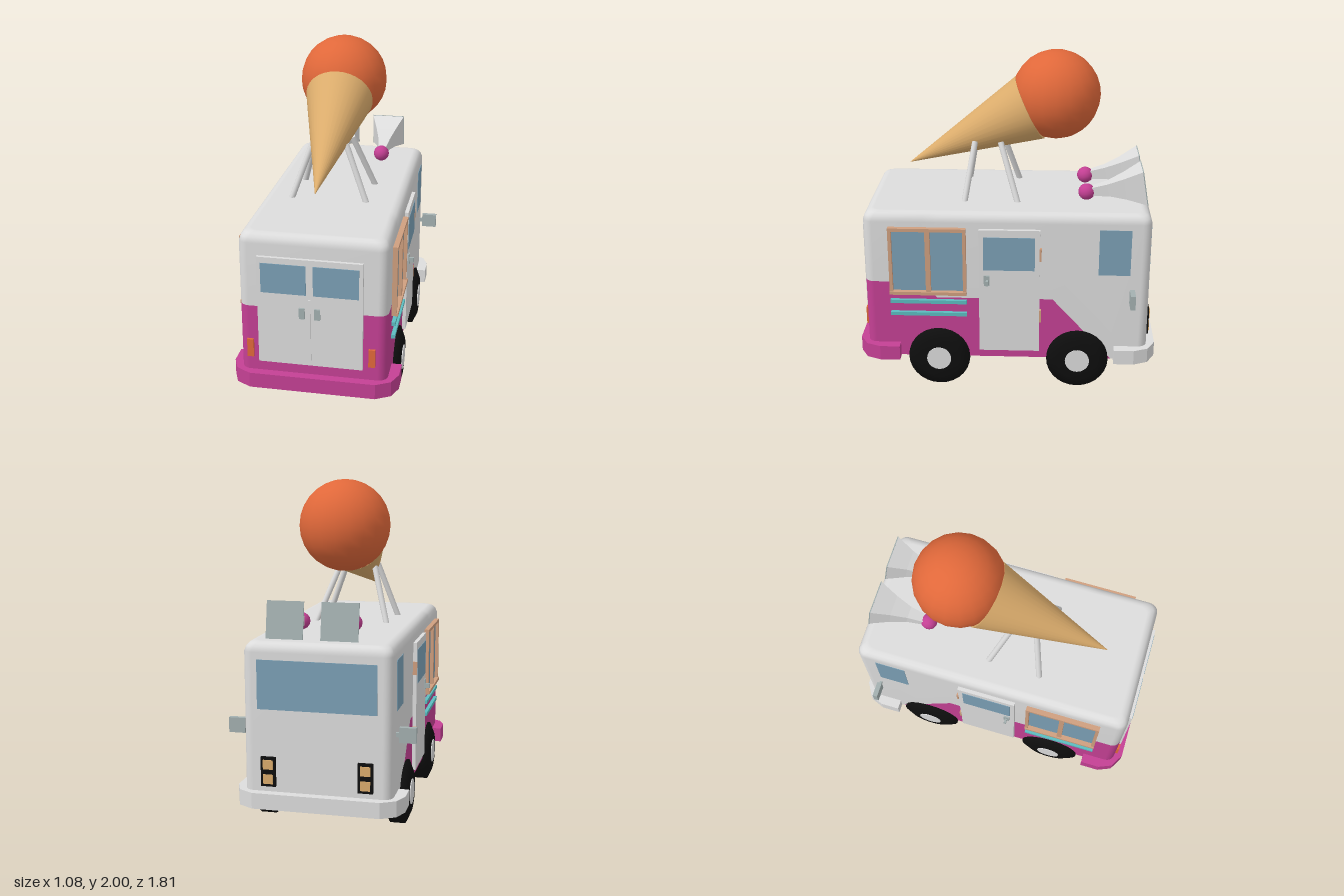
import * as THREE from 'three';

const paint = (name, color) => {
  const m = new THREE.MeshStandardMaterial({ color });
  m.name = name;
  return m;
};

export function createModel() {
  const white = paint('white', 0xdcdcdc), pink = paint('pink', 0xc44094), glass = paint('glass', 0x7ba0b5);
  const trim = paint('trim', 0xcf9f7f), grey = paint('grey', 0xa3b0b0), teal = paint('teal', 0x5cbcc0);
  const black = paint('black', 0x0e0e0e), wafer = paint('wafer', 0xdbac6c), orange = paint('orange', 0xe0683a);

  const model = new THREE.Group();
  model.name = 'iceCreamVan';
  const van = new THREE.Group();
  van.name = 'van';
  van.position.x = -0.008;
  model.add(van);

  const add = (name, geo, mat, parent = van) => {
    const m = new THREE.Mesh(geo, mat);
    m.name = name;
    parent.add(m);
    return m;
  };
  // box given by its limits
  const box = (name, mat, x0, x1, y0, y1, z0, z1, parent = van) =>
    add(name, new THREE.BoxGeometry(Math.abs(x1 - x0), y1 - y0, z1 - z0), mat, parent)
      .position.set((x0 + x1) / 2, (y0 + y1) / 2, (z0 + z1) / 2);
  // skin over closed rings of [x, y, z], listed bottom to top
  const loft = (rings) => {
    const n = rings[0].length, index = [];
    for (let r = 0; r < rings.length - 1; r++)
      for (let i = 0; i < n; i++) {
        const a = r * n + i, b = r * n + (i + 1) % n;
        index.push(b, a, a + n, b, a + n, b + n);
      }
    const g = new THREE.BufferGeometry();
    g.setAttribute('position', new THREE.Float32BufferAttribute(rings.flat(2), 3));
    g.setIndex(index);
    g.computeVertexNormals();
    return g;
  };
  // rod between two points
  const rod = (name, a, b, r, mat) => {
    const p = new THREE.Vector3(...a), q = new THREE.Vector3(...b), d = q.clone().sub(p);
    const m = add(name, new THREE.CylinderGeometry(r, r, d.length(), 12), mat, model);
    m.position.copy(p).add(q).multiplyScalar(0.5);
    m.quaternion.setFromUnitVectors(new THREE.Vector3(0, 1, 0), d.normalize());
  };

  // body plan: rounded rectangle with extra points where the paint line bends
  const W = 0.425, L = 0.852, R = 0.055, base = 0.19;
  const paintLine = [[-0.635, base], [-0.275, 0.585], [0.42, 0.585], [0.5, 0.685]];
  const plan = [];
  const corner = (sx, sz, start) => {
    for (let i = 0; i <= 5; i++) {
      const t = start + (i / 5) * Math.PI / 2;
      plan.push([sx * (W - R) + R * Math.cos(t), sz * (L - R) + R * Math.sin(t)]);
    }
  };
  paintLine.forEach(([z]) => plan.push([W, z]));
  corner(1, 1, 0);
  corner(-1, 1, Math.PI / 2);
  [...paintLine].reverse().forEach(([z]) => plan.push([-W, z]));
  corner(-1, -1, Math.PI);
  corner(1, -1, Math.PI * 1.5);

  const paintTop = (z) => {
    if (z <= paintLine[0][0]) return base;
    for (let i = 1; i < paintLine.length; i++) {
      const [z0, y0] = paintLine[i - 1], [z1, y1] = paintLine[i];
      if (z <= z1) return y0 + (y1 - y0) * (z - z0) / (z1 - z0);
    }
    return 0.685;
  };
  const ring = (y, inset = 0) => plan.map(([x, z]) => [x * (1 - inset / W), y, z * (1 - inset / L)]);
  const paintRing = plan.map(([x, z]) => [x, paintTop(z), z]);

  add('lowerBody', loft([ring(base), paintRing]), pink);
  add('underside', loft([plan.map(() => [0, base, 0]), ring(base)]), pink);
  add('upperBody', loft([paintRing, ring(1.07), ring(1.1, 0.01), ring(1.117, 0.025),
    ring(1.126, 0.045), ring(1.127, 0.06), plan.map(() => [0, 1.127, 0])]), white);

  // wrap-around bumpers
  for (const s of [1, -1]) {
    const half = [[0.485, 0.65], [0.485, 0.77], [0.45, 0.855], [0.365, 0.903]];
    const pts = [...half, ...half.map(([x, z]) => [-x, z]).reverse()];
    const shape = new THREE.Shape(pts.map(([x, z]) => new THREE.Vector2(x, s * z)));
    const g = new THREE.ExtrudeGeometry(shape, { depth: 0.092, bevelEnabled: false });
    g.rotateX(Math.PI / 2);
    add(s > 0 ? 'doorEndBumper' : 'cabBumper', g, s > 0 ? pink : white).position.y = 0.277;
  }

  // parts that repeat on both sides
  for (const s of [1, -1]) {
    const side = new THREE.Group();
    side.name = s > 0 ? 'leftSide' : 'rightSide';
    van.add(side);
    const panel = (name, mat, out, y0, y1, z0, z1) => box(name, mat, s * 0.41, s * out, y0, y1, z0, z1, side);

    // serving window
    panel('servingGlass', glass, 0.433, 0.63, 1.03, 0.25, 0.69);
    panel('servingFrameTop', trim, 0.455, 1.02, 1.04, 0.24, 0.7);
    panel('servingSill', trim, 0.462, 0.615, 0.635, 0.24, 0.7);
    for (const z of [0.25, 0.467, 0.69])
      panel('servingFramePost', trim, 0.454, 0.635, 1.02, z - (z === 0.467 ? 0.015 : 0.01), z + (z === 0.467 ? 0.015 : 0.01));
    // rails below it
    for (const y of [0.563, 0.482]) panel('sideRail', teal, 0.447, y - 0.011, y + 0.011, 0.24, 0.7);

    // side door
    panel('sideDoor', white, 0.447, 0.245, 1.035, -0.197, 0.165);
    panel('sideDoorWindow', glass, 0.45, 0.78, 0.99, -0.167, 0.138);
    panel('sideDoorHandlePlate', grey, 0.456, 0.68, 0.745, 0.1, 0.135);
    box('sideDoorHandle', grey, s * 0.45, s * 0.482, 0.69, 0.72, 0.108, 0.122, side);
    for (const y of [0.48, 0.88]) panel('sideDoorHinge', trim, 0.45, y - 0.04, y + 0.04, -0.207, -0.195);

    // cab window and mirror
    panel('cabSideWindow', glass, 0.428, 0.75, 1.037, -0.733, -0.545);
    box('mirror', grey, s * 0.445, s * 0.54, 0.58, 0.667, -0.762, -0.732, side);
    box('mirrorArm', grey, s * 0.41, s * 0.45, 0.61, 0.635, -0.755, -0.74, side);

    // wheels
    for (const z of [0.413, -0.43]) {
      const wheel = new THREE.Group();
      wheel.name = 'wheel';
      wheel.position.set(s * 0.403, 0.19, z);
      wheel.rotation.z = -s * Math.PI / 2;
      side.add(wheel);
      const profile = [[0, -0.06], [0.17, -0.06], [0.188, -0.05], [0.188, 0.032], [0.125, 0.06], [0, 0.06]];
      add('tyre', new THREE.LatheGeometry(profile.map((p) => new THREE.Vector2(...p)), 28), black, wheel);
      add('hub', new THREE.CylinderGeometry(0.074, 0.074, 0.01, 20), white, wheel).position.y = 0.06;
    }

    // headlights
    box('headlight', black, s * 0.235, s * 0.32, 0.31, 0.48, -0.868, -0.84, side);
    for (const y of [0.353, 0.437])
      box('headlightLens', wafer, s * 0.249, s * 0.306, y - 0.027, y + 0.027, -0.874, -0.85, side);
  }

  // windscreen
  box('windscreen', glass, -0.34, 0.34, 0.75, 1.03, -0.856, -0.84);

  // double doors
  const doors = new THREE.Group();
  doors.name = 'doubleDoors';
  doors.position.x = -0.012;
  van.add(doors);
  box('doorPanel', white, -0.3, 0.3, 0.345, 1, 0.84, 0.872, doors);
  box('doorSeam', white, -0.006, 0.006, 0.38, 0.76, 0.87, 0.88, doors);
  for (const s of [1, -1]) {
    box('doorWindow', glass, s * 0.02, s * 0.278, 0.787, 0.965, 0.868, 0.876, doors);
    box('doorHandle', grey, s * 0.028, s * 0.06, 0.643, 0.708, 0.868, 0.884, doors);
    box('tailLight', orange, s * 0.332, s * 0.37, 0.365, 0.475, 0.83, 0.866, doors);
  }

  // roof horns
  for (const x of [-0.132, 0.178]) {
    const horn = new THREE.Group();
    horn.name = 'horn';
    horn.position.set(x, 1.19, -0.47);
    horn.rotation.x = -Math.PI / 2 + 0.17;
    model.add(horn);
    add('hornBulb', new THREE.SphereGeometry(0.05, 14, 10), pink, horn);
    const square = (y, h) => [[h, y, -h], [h, y, h], [-h, y, h], [-h, y, -h]];
    const flare = loft([square(0.03, 0.025), square(0.13, 0.038), square(0.23, 0.065), square(0.345, 0.105)]).toNonIndexed();
    flare.computeVertexNormals();
    add('hornFlare', flare, white, horn);
    add('hornMouth', new THREE.BoxGeometry(0.211, 0.006, 0.211), grey, horn).position.y = 0.346;
  }

  // giant cone with scoop, on four struts
  const tip = new THREE.Vector3(-0.038, 1.29, 0.62), rim = new THREE.Vector3(-0.038, 1.648, -0.123);
  const cone = add('cone', new THREE.ConeGeometry(0.207, tip.distanceTo(rim), 32), wafer, model);
  cone.position.copy(tip).add(rim).multiplyScalar(0.5);
  cone.quaternion.setFromUnitVectors(new THREE.Vector3(0, 1, 0), tip.clone().sub(rim).normalize());
  add('scoop', new THREE.SphereGeometry(0.267, 20, 14), orange, model).position.set(-0.036, 1.733, -0.28);
  for (const s of [1, -1]) {
    rod('strut', [-0.03 + s * 0.23, 1.11, 0.265], [-0.036 + s * 0.1, 1.46, 0.205], 0.018, white);
    rod('strut', [-0.02 + s * 0.225, 1.11, -0.06], [-0.036 + s * 0.11, 1.46, 0.05], 0.018, white);
  }
  return model;
}
